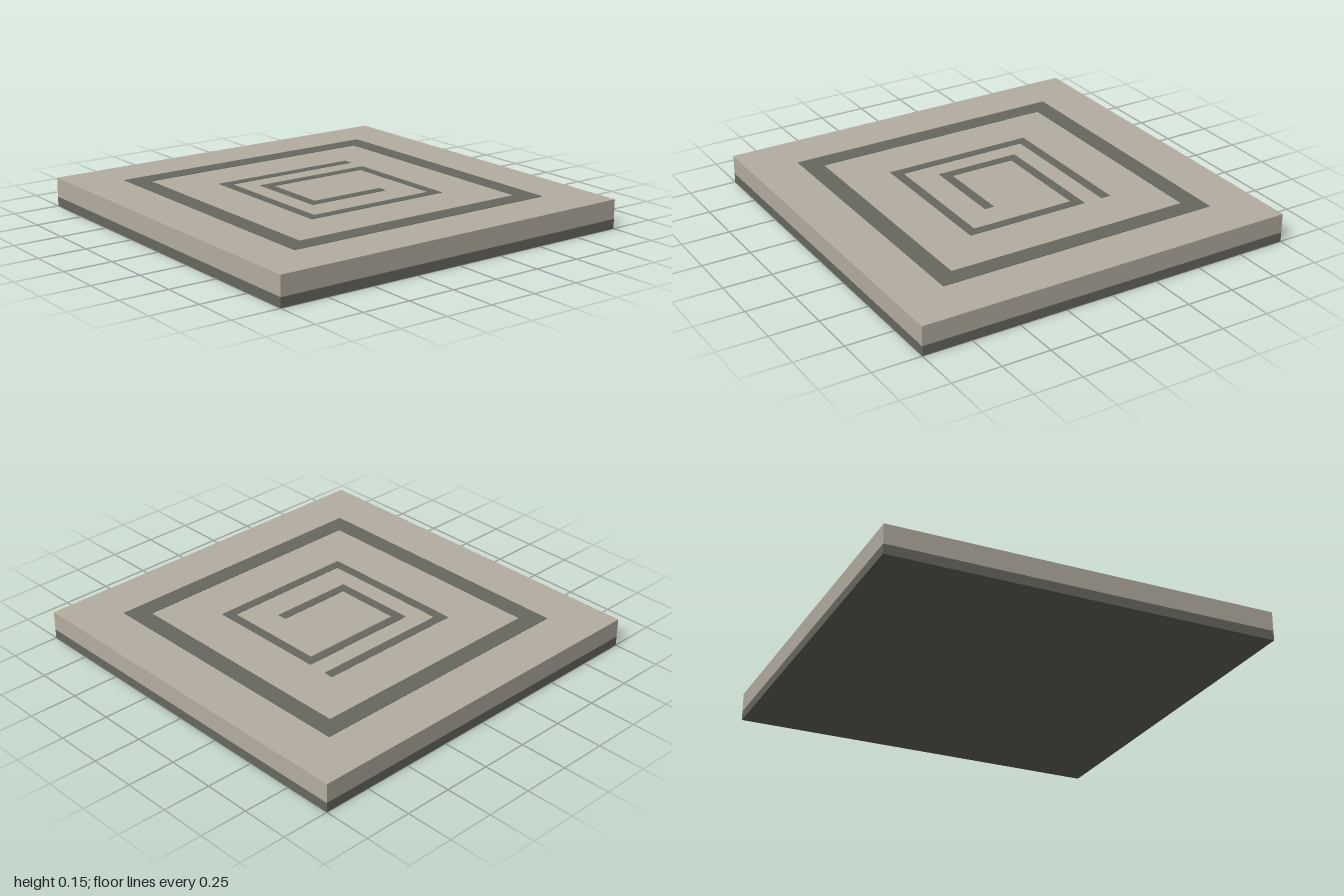
import * as THREE from 'three';

const TOP = 0.15;      // height of the tile surface
const BASE = 0.05;     // thickness of the dark base layer
const INLAY = 0.004;   // thickness of the inlay plates
const PROUD = 0.002;   // how far the inlays stand above the surface

const toPoints = (list) => list.map(([x, z]) => new THREE.Vector2(x, z));
const square = (h) => toPoints([[-h, -h], [h, -h], [h, h], [-h, h]]);

export function createModel() {
  const stone = new THREE.MeshStandardMaterial({ color: 0xb5ada0 });
  stone.name = 'paleStone';
  const dark = new THREE.MeshStandardMaterial({ color: 0x67695f });
  dark.name = 'darkStone';

  const model = new THREE.Group();
  model.name = 'floorTile';

  // Square layers of the tile
  const addLayer = (name, bottom, top, material) => {
    const mesh = new THREE.Mesh(new THREE.BoxGeometry(2, top - bottom, 2), material);
    mesh.name = name;
    mesh.position.y = (bottom + top) / 2;
    model.add(mesh);
  };
  addLayer('baseLayer', 0, BASE, dark);
  addLayer('stoneSlab', BASE, TOP, stone);

  // Flat inlays, drawn in x and z and laid on the surface
  const addInlay = (name, shape) => {
    const geometry = new THREE.ExtrudeGeometry(shape, { depth: INLAY, bevelEnabled: false });
    geometry.rotateX(Math.PI / 2);
    const mesh = new THREE.Mesh(geometry, dark);
    mesh.name = name;
    mesh.position.y = TOP + PROUD;
    model.add(mesh);
  };

  // Square border
  const border = new THREE.Shape(square(0.75));
  border.holes.push(new THREE.Path(square(0.65)));
  addInlay('borderInlay', border);

  // Square spiral: outer edge inwards, then back along the inner edge
  addInlay('spiralInlay', new THREE.Shape(toPoints([
    [0.4, -0.4], [-0.4, -0.4], [-0.4, 0.4], [0.4, 0.4],
    [0.4, -0.25], [-0.25, -0.25], [-0.25, 0.2], [0.2, 0.2],
    [0.2, 0.15], [-0.2, 0.15], [-0.2, -0.2], [0.35, -0.2],
    [0.35, 0.35], [-0.35, 0.35], [-0.35, -0.35], [0.4, -0.35],
  ])));

  return model;
}
